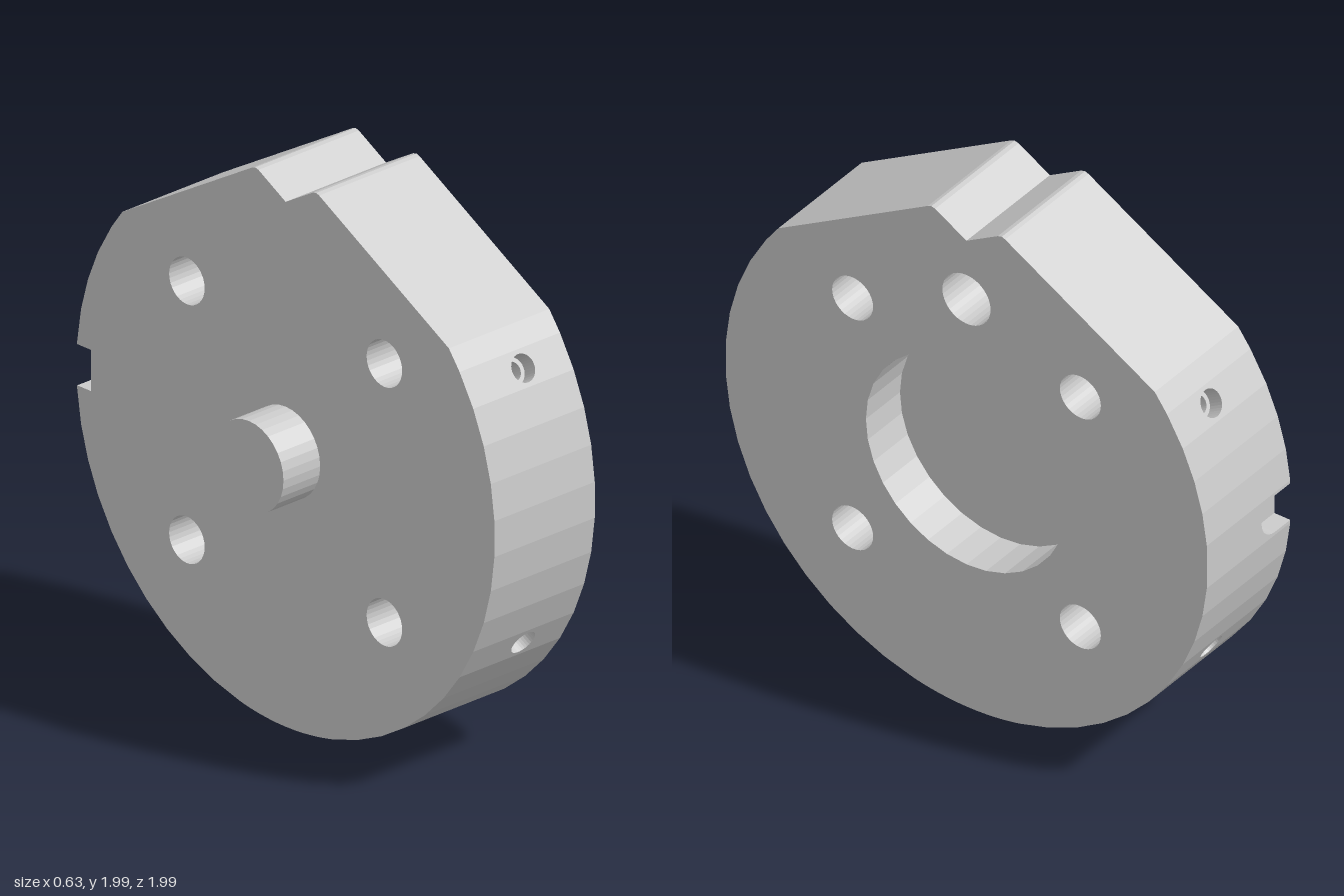
import * as THREE from 'three';

const X0 = -0.15, X1 = 0.315;          // back and front faces of the disc
const SEG = 32, RAD = Math.PI / 180;
const solid = new THREE.MeshStandardMaterial({ color: 0xcccccc, flatShading: true });
const inner = new THREE.MeshStandardMaterial({ color: 0xcccccc, flatShading: true, side: THREE.DoubleSide });

const PORT = { x: 0.113, r: 0.05, half: 3.75 };
const SLOT = { r: 0.075, len: 0.16, floor: 0.93, half: 5 };
const PIT = { x: 0.082, r: 0.22, top: 0.12 };

function add(parent, name, geo, mat = solid) {
  const mesh = new THREE.Mesh(geo, mat);
  mesh.name = name;
  parent.add(mesh);
  return mesh;
}

const lathe = pts => new THREE.LatheGeometry(pts.map(p => new THREE.Vector2(...p)), SEG);

// Hole along x; profile entries are [radius, x]
function boreX(parent, name, profile, y, z) {
  add(parent, name, lathe(profile).rotateZ(-Math.PI / 2), inner).position.set(0, y, z);
}

function circle(x, y, r) {
  return new THREE.Path().absarc(x, y, r, 0, Math.PI * 2, false);
}

function fromQuads(quads) {
  const pos = [];
  for (const [a, b, c, d] of quads) pos.push(...a, ...b, ...c, ...a, ...c, ...d);
  const geo = new THREE.BufferGeometry();
  geo.setAttribute('position', new THREE.Float32BufferAttribute(pos, 3));
  geo.computeVertexNormals();
  return geo;
}

// Group whose local z points radially out of the disc at the given angle
function radialGroup(parent, name, deg) {
  const g = new THREE.Group();
  g.name = name;
  g.position.y = 1;
  g.rotation.x = -deg * RAD;
  parent.add(g);
  return g;
}

// Flat rim facet with a stepped radial screw hole
function addPort(parent, deg) {
  const g = radialGroup(parent, 'radialPort', deg);
  const w = Math.sin(PORT.half * RAD), d = Math.cos(PORT.half * RAD);
  const s = new THREE.Shape([[X0, -w], [X1, -w], [X1, w], [X0, w]].map(p => new THREE.Vector2(...p)));
  s.holes.push(circle(PORT.x, 0, PORT.r));
  add(g, 'portFacet', new THREE.ShapeGeometry(s, SEG / 2).translate(0, 0, d));
  const profile = [[PORT.r, d], [PORT.r, 0.94], [0.034, 0.94], [0.034, 0.65], [0, 0.63]];
  add(g, 'portBore', lathe(profile).rotateX(Math.PI / 2), inner).position.x = PORT.x;
}

// Rim facet with a round-ended keyway open to the back face
function addSlot(parent, deg) {
  const g = radialGroup(parent, 'keyway', deg);
  const w = Math.sin(SLOT.half * RAD), d = Math.cos(SLOT.half * RAD), r = SLOT.r;
  const u = [[X0, r]];
  for (let k = 0; k <= 12; k++) {
    const t = (90 - 15 * k) * RAD;
    u.push([X0 + SLOT.len - r + r * Math.cos(t), r * Math.sin(t)]);
  }
  u.push([X0, -r]);
  const shape = pts => new THREE.ShapeGeometry(new THREE.Shape(pts.map(p => new THREE.Vector2(...p))));
  add(g, 'keywayFacet', shape([[X0, -w], [X1, -w], [X1, w], [X0, w], ...u]).translate(0, 0, d));
  add(g, 'keywayFloor', shape(u).translate(0, 0, SLOT.floor), inner);
  const walls = u.slice(1).map((q, i) => {
    const p = u[i];
    return [[...p, SLOT.floor], [...q, SLOT.floor], [...q, d], [...p, d]];
  });
  add(g, 'keywayWall', fromQuads(walls), inner);
}

export function createModel() {
  const model = new THREE.Group();
  model.name = 'clampDisc';
  const rimPoint = deg => [Math.cos(deg * RAD), 1 + Math.sin(deg * RAD)];   // [z, y]
  const quads = [], front = [], back = [];
  const strip = (p, q, a0, b0, a1 = a0, b1 = b0) => quads.push(
    [[a0, p[1], p[0]], [b0, p[1], p[0]], [b1, q[1], q[0]], [a1, q[1], q[0]]]);
  const outline = p => { front.push(p); back.push(p); };

  // Round rim, walked from one top flat down and around to the other
  const END = 38.7;
  const pitHalf = Math.asin(PIT.r) / RAD;
  const features = [
    { a: -210, half: PORT.half, kind: 'port' }, { a: -180, half: SLOT.half, kind: 'slot' },
    { a: -150, half: PORT.half, kind: 'port' }, { a: -90, half: pitHalf, kind: 'pit' },
    { a: -30, half: PORT.half, kind: 'port' }, { a: 30, half: PORT.half, kind: 'port' },
    { a: END, half: 0, kind: 'end' },
  ];
  let at = -180 - END;
  outline(rimPoint(at));
  for (const { a, half, kind } of features) {
    const stop = a - half, n = Math.max(1, Math.round((stop - at) / 7.5));
    for (let i = 0; i < n; i++) {
      const p = rimPoint(at + (stop - at) * i / n), q = rimPoint(at + (stop - at) * (i + 1) / n);
      strip(p, q, X0, X1);
      outline(q);
    }
    at = a + half;
    if (kind === 'end') break;
    if (kind === 'port') addPort(model, a);
    if (kind === 'slot') {
      addSlot(model, a);
      const z = -Math.cos(half * RAD), r = SLOT.r;
      back.push([z, 1 + r], [-SLOT.floor, 1 + r], [-SLOT.floor, 1 - r], [z, 1 - r]);
    }
    if (kind === 'pit') {
      const m = SEG / 2;
      const sample = k => {
        const t = Math.PI * k / m, z = -PIT.r * Math.cos(t);
        return { p: [z, 1 - Math.sqrt(1 - z * z)], w: PIT.r * Math.sin(t) };
      };
      for (let k = 0; k < m; k++) {
        const s = sample(k), e = sample(k + 1);
        strip(s.p, e.p, X0, PIT.x - s.w, X0, PIT.x - e.w);
        strip(s.p, e.p, PIT.x + s.w, X1, PIT.x + e.w, X1);
        if (k < m - 1) outline(e.p);
      }
    }
    outline(rimPoint(at));
  }

  // Sloping top flats and the V notch between them
  const half = [[0.16, 1.984], [0.146, 1.989], [0.13, 1.985]];
  const top = [...half, [0, 1.91], ...half.map(([z, y]) => [-z, y]).reverse()];
  const run = [rimPoint(END), ...top, rimPoint(-180 - END)];
  for (let i = 0; i < run.length - 1; i++) strip(run[i], run[i + 1], X0, X1);
  top.forEach(outline);
  add(model, 'rim', fromQuads(quads));

  // End faces with their holes
  const bolts = [];
  for (const z of [-0.472, 0.472]) for (const y of [0.53, 1.472]) bolts.push([z, y, 0.085]);
  const face = (name, side, pts, holes) => {
    const s = new THREE.Shape(pts.map(([z, y]) => new THREE.Vector2(-side * z, y)));
    for (const [z, y, r] of holes) s.holes.push(circle(-side * z, y, r));
    const geo = new THREE.ShapeGeometry(s, SEG / 2).rotateY(side * Math.PI / 2);
    add(model, name, geo.translate(side > 0 ? X1 : X0, 0, 0));
  };
  face('recessedFace', 1, front, [...bolts, [0, 1, 0.417], [0, 1.67, 0.1]]);
  face('bossFace', -1, back, bolts);

  // Bores along the disc axis
  for (const [z, y, r] of bolts) boreX(model, 'boltHole', [[r, X0], [r, X1]], y, z);
  boreX(model, 'centreRecess', [[0.417, X1], [0.417, 0.125], [0, 0.125]], 1, 0);
  boreX(model, 'drilledHole', [[0.1, X1], [0.1, 0.03], [0, -0.03]], 1.67, 0);

  // Round pocket in the underside, its lip following the rim
  const pit = lathe([[PIT.r, 0], [PIT.r, PIT.top], [0, PIT.top]]);
  const pos = pit.attributes.position;
  for (let i = 0; i < pos.count; i++) {
    if (pos.getY(i) === 0) pos.setY(i, 1 - Math.sqrt(1 - pos.getZ(i) ** 2));
  }
  add(model, 'undersidePocket', pit, inner).position.x = PIT.x;

  // Central boss
  const boss = new THREE.CylinderGeometry(0.165, 0.165, 0.17, SEG).rotateZ(Math.PI / 2);
  add(model, 'boss', boss).position.set(X0 - 0.085, 1, 0);
  return model;
}
